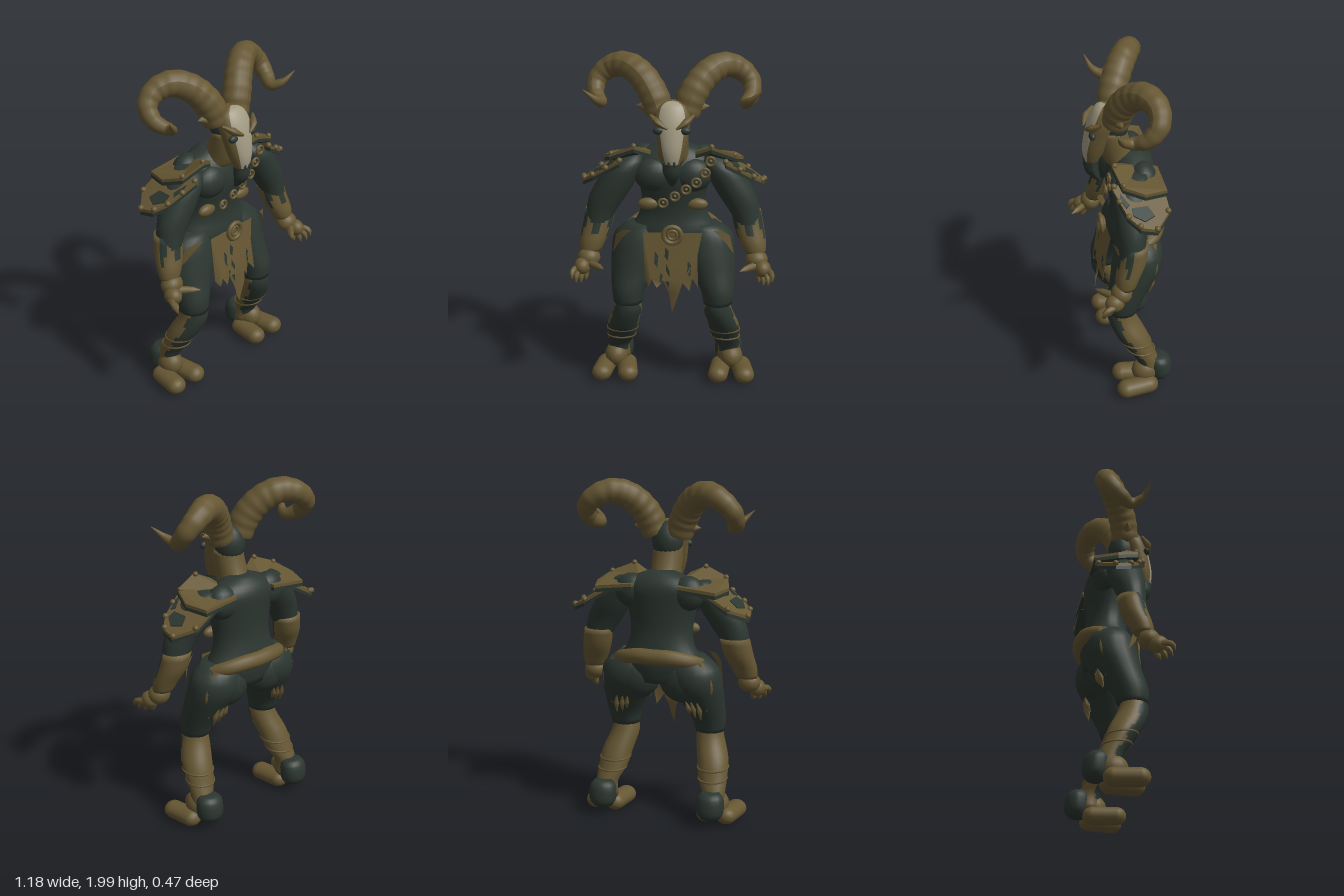
import * as THREE from 'three';

const paint = (name, color) => Object.assign(new THREE.MeshStandardMaterial({ color }), { name });
const V = p => new THREE.Vector3(...p);

// Smooth body from rows [x, y, z, radiusX, radiusZ], listed from top to bottom.
// pick(angle, t) gives the material slot of each patch.
function loft(rows, n = 20, pick = () => 0) {
  const centre = new THREE.CatmullRomCurve3(rows.map(r => V(r.slice(0, 3))), false, 'catmullrom', 0.5);
  const size = new THREE.CatmullRomCurve3(rows.map(r => V([r[3], r[4], 0])), false, 'catmullrom', 0.5);
  const m = (rows.length - 1) * 3, pos = [], lists = [[], []];
  for (let i = 0; i <= m; i++) {
    const c = centre.getPoint(i / m), s = size.getPoint(i / m);
    for (let j = 0; j < n; j++) {
      const a = j / n * Math.PI * 2;
      pos.push(c.x + s.x * Math.cos(a), c.y, c.z + s.y * Math.sin(a));
    }
  }
  const top = pos.length / 3;
  pos.push(...rows[0].slice(0, 3), ...rows[rows.length - 1].slice(0, 3));
  for (let j = 0; j < n; j++) {
    const k = (j + 1) % n, e = m * n, angle = (j + 0.5) / n * Math.PI * 2;
    for (let i = 0; i < m; i++) {
      const a = i * n + j, b = i * n + k;
      lists[pick(angle, (i + 0.5) / m)].push(a, b, a + n, b, b + n, a + n);
    }
    lists[pick(angle, 0)].push(top, k, j);
    lists[pick(angle, 1)].push(top + 1, e + j, e + k);
  }
  const g = new THREE.BufferGeometry();
  g.setAttribute('position', new THREE.Float32BufferAttribute(pos, 3));
  g.setIndex(lists.flat());
  g.addGroup(0, lists[0].length, 0);
  if (lists[1].length) g.addGroup(lists[0].length, lists[1].length, 1);
  g.computeVertexNormals();
  return g;
}

// Tube along points whose radius follows a list, with optional ridges
function taper(points, radii, seg = 12, sides = 10, ridges = 0) {
  const curve = new THREE.CatmullRomCurve3(points.map(V));
  const g = new THREE.TubeGeometry(curve, seg, 1, sides), p = g.attributes.position, v = new THREE.Vector3();
  for (let i = 0; i <= seg; i++) {
    const t = i / seg, c = curve.getPointAt(t), f = t * (radii.length - 1);
    const k = Math.min(Math.floor(f), radii.length - 2);
    const r = THREE.MathUtils.lerp(radii[k], radii[k + 1], f - k) * (1 + (ridges ? 0.022 * Math.sin(t * ridges * Math.PI * 2) : 0));
    for (let j = 0; j <= sides; j++) {
      const q = i * (sides + 1) + j;
      v.fromBufferAttribute(p, q).sub(c).multiplyScalar(r).add(c);
      p.setXYZ(q, v.x, v.y, v.z);
    }
  }
  g.computeVertexNormals();
  return g;
}

const blob = (x, y, z, rx, ry, rz) => new THREE.SphereGeometry(1, 18, 12).scale(rx, ry, rz).translate(x, y, z);
const ring = (x, y, z, r, t) => new THREE.TorusGeometry(r, t, 8, 20).translate(x, y, z);
const outlineShape = points => new THREE.Shape(points.map(p => new THREE.Vector2(...p)));

// Armour plate outlined in x and z, folded by a height rule
function plate(outline, depth, height) {
  const g = new THREE.ExtrudeGeometry(outlineShape(outline), { depth, bevelEnabled: false });
  g.rotateX(Math.PI / 2);
  const p = g.attributes.position;
  for (let i = 0; i < p.count; i++) p.setY(i, p.getY(i) + height(p.getX(i), p.getZ(i)));
  g.computeVertexNormals();
  return g;
}

// Flat cloth cut from an x, y outline, with its depth set by a rule
function cloth(outline, depthAt) {
  const g = new THREE.ShapeGeometry(outlineShape(outline)), p = g.attributes.position;
  for (let i = 0; i < p.count; i++) p.setZ(i, depthAt(p.getX(i), p.getY(i)));
  g.computeVertexNormals();
  return g;
}

function mirrored(geo) {
  const g = geo.clone().scale(-1, 1, 1);
  const old = g.index ? Array.from(g.index.array) : Array.from({ length: g.attributes.position.count }, (_, i) => i);
  for (let i = 0; i < old.length; i += 3) [old[i], old[i + 1]] = [old[i + 1], old[i]];
  g.setIndex(old);
  return g;
}

export function createModel() {
  const model = new THREE.Group();
  model.name = 'hornedWarrior';
  const brown = paint('leatherBrown', 0x665733), dark = paint('darkGreen', 0x2c3630), bone = paint('bone', 0xa19a82);
  brown.side = dark.side = THREE.DoubleSide; // both also make thin cloth
  const add = (name, mat, geo) => {
    const mesh = new THREE.Mesh(geo, mat);
    mesh.name = name;
    model.add(mesh);
  };
  const pair = (name, mat, geo) => { add(name + 'Left', mat, geo); add(name + 'Right', mat, mirrored(geo)); };

  // Torso
  add('torso', dark, loft([[0, 1.48, -0.05, 0.07, 0.06], [0, 1.44, -0.055, 0.17, 0.1], [0, 1.38, -0.05, 0.23, 0.13],
    [0, 1.28, -0.04, 0.21, 0.135], [0, 1.15, -0.05, 0.185, 0.12], [0, 1.05, -0.06, 0.2, 0.125],
    [0, 0.95, -0.06, 0.25, 0.14], [0, 0.84, -0.06, 0.17, 0.12]], 28));
  pair('chest', dark, blob(0.11, 1.31, 0.03, 0.115, 0.1, 0.08));
  pair('shoulderBlade', dark, blob(0.17, 1.36, -0.085, 0.1, 0.1, 0.08));
  pair('buttock', dark, blob(0.145, 0.86, -0.085, 0.145, 0.14, 0.11));
  pair('ribPlate', brown, blob(0.14, 1.135, 0.038, 0.062, 0.036, 0.03));

  // Ring strap across the chest
  [[0.215, 1.415], [0.185, 1.345], [0.135, 1.29], [0.077, 1.245], [0.013, 1.2], [-0.055, 1.155]].forEach(([x, y], i) => {
    const z = [0.115, 0.11, 0.12, 0.11, 0.1, 0.085][i];
    add('strapRing', brown, ring(x, y, z, 0.024, 0.008));
    add('strapStud', brown, blob(x, y, z - 0.005, 0.01, 0.01, 0.01));
  });

  // Belt, buckle and torn cloths
  add('belt', brown, taper([[0.2, 0.95, 0.03], [0.26, 0.955, -0.06], [0.2, 0.98, -0.145], [0.09, 1.0, -0.19], [0, 1.0, -0.197],
    [-0.09, 1.0, -0.19], [-0.2, 0.98, -0.145], [-0.26, 0.955, -0.06], [-0.2, 0.95, 0.03]],
    [0.012, 0.028, 0.04, 0.045, 0.046, 0.045, 0.04, 0.028, 0.012], 36, 12));
  add('buckleRing', brown, ring(0, 0.975, 0.125, 0.05, 0.014));
  add('buckleInner', brown, ring(0, 0.975, 0.125, 0.027, 0.009));
  add('buckleDisc', brown, blob(0, 0.975, 0.11, 0.05, 0.05, 0.015));
  const hang = (x, y) => 0.11 + (0.98 - y) * 0.12 - x * x * 0.4 + (0.98 - y) * 0.05 * Math.sin(x * 45);
  add('frontCloth', brown, cloth([[-0.17, 0.98], [-0.16, 0.7], [-0.135, 0.66], [-0.12, 0.71], [-0.09, 0.66], [-0.05, 0.69],
    [-0.02, 0.62], [0, 0.51], [0.04, 0.63], [0.06, 0.69], [0.1, 0.63], [0.115, 0.71], [0.15, 0.66], [0.145, 0.85], [0.17, 0.98]], hang));
  [[-0.09, 0.88, 0.1], [-0.03, 0.9, 0.08], [-0.025, 0.8, 0.15], [-0.06, 0.75, 0.07], [0.1, 0.82, 0.1]].forEach(([x, y, h]) =>
    add('clothStain', dark, cloth([[x - 0.01, y], [x - 0.014, y - h * 0.7], [x + 0.004, y - h], [x + 0.01, y - h * 0.3]],
      (a, b) => hang(a, b) + 0.012)));
  pair('hipFlap', brown, cloth([[0.235, 0.995], [0.29, 0.985], [0.33, 0.95], [0.355, 0.82], [0.325, 0.88], [0.29, 0.94]],
    x => -0.04 + 0.145 * Math.sqrt(1 - ((x - 0.195) / 0.17) ** 2)));
  pair('sideStrand', brown, taper([[0.26, 0.97, -0.13], [0.32, 0.85, -0.13], [0.29, 0.68, -0.1]], [0.02, 0.018, 0.004], 12, 6));
  for (const [x, y] of [[0.18, 0.66], [0.21, 0.64], [0.245, 0.63]])
    pair('backRag', brown, taper([[x, 0.74, -0.145], [x + 0.01, 0.7, -0.13], [x + 0.015, y, -0.11]], [0.004, 0.016, 0.003], 8, 6));

  // Legs
  pair('thigh', dark, loft([[0.17, 1.0, -0.05, 0.09, 0.09], [0.19, 0.93, -0.06, 0.155, 0.13], [0.205, 0.83, -0.05, 0.16, 0.145],
    [0.235, 0.72, -0.01, 0.13, 0.125], [0.262, 0.61, 0.035, 0.1, 0.105], [0.265, 0.53, 0.05, 0.085, 0.085]], 24));
  pair('calf', [brown, dark], loft([[0.265, 0.56, 0.06, 0.07, 0.07], [0.268, 0.48, 0.05, 0.084, 0.086], [0.3, 0.37, 0.0, 0.092, 0.092],
    [0.315, 0.27, -0.05, 0.085, 0.075], [0.335, 0.19, -0.09, 0.066, 0.065], [0.335, 0.1, -0.1, 0.07, 0.07]], 28,
    (a, t) => (Math.sin(a) > 0.3 + 0.12 * Math.sin(t * 23) && t < 0.87 ? 1 : 0)));
  for (const [x, y, z, r] of [[0.307, 0.33, -0.02, 0.09], [0.315, 0.27, -0.05, 0.083]])
    pair('legStrap', brown, new THREE.TorusGeometry(r, 0.006, 6, 28).rotateX(Math.PI / 2 - 0.1).translate(x, y, z));
  pair('heel', dark, loft([[0.335, 0.215, -0.15, 0.05, 0.045], [0.335, 0.18, -0.158, 0.08, 0.068],
    [0.335, 0.1, -0.163, 0.08, 0.072], [0.335, 0.06, -0.155, 0.055, 0.055]], 18));
  pair('ankle', brown, blob(0.35, 0.125, -0.07, 0.07, 0.075, 0.08));
  for (const [x, turn] of [[0.28, -0.12], [0.42, 0.15]])
    pair('toe', brown, new THREE.CapsuleGeometry(0.056, 0.14, 6, 16).rotateX(Math.PI / 2).scale(1.08, 0.93, 1).rotateY(turn).translate(x, 0.06, -0.012));

  // Arms
  pair('upperArm', dark, loft([[0.23, 1.43, -0.03, 0.05, 0.06], [0.27, 1.37, 0, 0.1, 0.1], [0.33, 1.26, 0.01, 0.11, 0.1],
    [0.38, 1.17, 0.02, 0.105, 0.085], [0.415, 1.09, 0.025, 0.086, 0.075], [0.44, 1.0, 0.03, 0.07, 0.07]], 22));
  pair('bracer', [brown, dark], loft([[0.42, 1.1, 0.01, 0.087, 0.075], [0.44, 1.0, 0.03, 0.086, 0.077],
    [0.463, 0.92, 0.06, 0.076, 0.067], [0.478, 0.86, 0.075, 0.06, 0.055]], 24,
    (a, t) => (Math.sin(a) > 0.15 && t < 0.33 + 0.2 * Math.sin(a * 5) ? 1 : 0)));
  pair('wrist', brown, blob(0.485, 0.825, 0.1, 0.066, 0.058, 0.06));
  pair('palm', brown, blob(0.52, 0.785, 0.145, 0.048, 0.05, 0.055));
  [[0.5, 0.705, 0.16], [0.525, 0.7, 0.19], [0.55, 0.71, 0.215], [0.572, 0.735, 0.225]].forEach(([x, y, z], i) =>
    pair('finger', brown, taper([[0.505 + i * 0.012, 0.78, 0.14], [x, y + 0.035, z - 0.02], [x, y, z]], [0.02, 0.02, 0.018, 0.015, 0.003], 8, 8)));
  pair('thumb', brown, taper([[0.5, 0.8, 0.12], [0.44, 0.8, 0.175], [0.39, 0.8, 0.23]], [0.027, 0.024, 0.022, 0.018, 0.004], 8, 8));

  // Shoulder armour: two overlapping plates with a dark lining, lifted at the front
  const upper = [[0.12, -0.09], [0.14, -0.175], [0.36, -0.18], [0.4, -0.05], [0.36, 0.07], [0.22, 0.1], [0.13, 0.06]];
  const lower = [[0.27, -0.17], [0.43, -0.18], [0.53, -0.09], [0.52, 0.0], [0.46, 0.06], [0.3, 0.12], [0.28, 0]];
  const upperY = (x, z) => 1.475 - 0.36 * Math.abs(x - 0.22) + 0.2 * z;
  const lowerY = (x, z) => 1.41 - 0.58 * (x - 0.28) + 0.12 * z;
  for (const [outline, y] of [[upper, upperY], [lower, lowerY]]) {
    pair('shoulderPlate', brown, plate(outline, 0.018, y));
    pair('shoulderLining', dark, plate(outline, 0.02, (x, z) => y(x, z) - 0.018));
  }
  for (const patch of [[[0.41, -0.06], [0.46, -0.09], [0.49, -0.03], [0.46, 0.03], [0.42, 0.03]], [[0.34, 0.08], [0.4, 0.04], [0.42, 0.06], [0.37, 0.085]]])
    pair('platePatch', dark, plate(patch, 0.008, (x, z) => lowerY(x, z) + 0.006));
  for (const [x, z] of [[0.3, 0.105], [0.38, 0.09], [0.46, 0.055], [0.51, 0.0], [0.525, -0.09], [0.43, -0.17]])
    pair('plateStud', brown, blob(x, lowerY(x, z), z, 0.017, 0.017, 0.017));
  for (const [x, z] of [[0.22, 0.085], [0.35, 0.06]])
    pair('plateStud', brown, blob(x, upperY(x, z), z, 0.015, 0.015, 0.015));

  // Neck, head, skull mask and beard
  add('neck', brown, loft([[0, 1.6, 0.06, 0.085, 0.085], [0, 1.53, 0.045, 0.088, 0.09], [0, 1.45, 0.02, 0.088, 0.1], [0, 1.39, -0.02, 0.1, 0.11]]));
  add('head', dark, blob(0, 1.635, 0.045, 0.09, 0.115, 0.085));
  add('mask', [brown, bone], loft([[0, 1.755, 0.085, 0.045, 0.035], [0, 1.73, 0.09, 0.085, 0.062], [0, 1.67, 0.11, 0.102, 0.075], [0, 1.6, 0.13, 0.094, 0.076],
    [0, 1.5, 0.155, 0.075, 0.068], [0, 1.43, 0.17, 0.052, 0.047], [0, 1.39, 0.175, 0.032, 0.027]], 40,
    (a, t) => (Math.sin(a) > 0 && Math.abs(Math.cos(a)) < 0.66 && t < 0.97 ? 1 : 0)));
  pair('eye', dark, blob(0.074, 1.607, 0.178, 0.032, 0.022, 0.02));
  pair('brow', brown, taper([[0.025, 1.625, 0.21], [0.07, 1.65, 0.19], [0.12, 1.685, 0.14]], [0.006, 0.023, 0.008], 8, 8));
  pair('nostril', dark, blob(0.015, 1.425, 0.214, 0.007, 0.018, 0.008));
  add('beard', dark, taper([[0, 1.42, 0.175], [0, 1.37, 0.175], [0, 1.31, 0.15], [0, 1.265, 0.12]], [0.045, 0.042, 0.026, 0.003], 12, 10).scale(1.2, 1, 1));

  // Ridged horns that curl back, down and forward to a point
  pair('horn', brown, taper([[0.07, 1.68, 0.05], [0.115, 1.79, 0.025], [0.185, 1.88, -0.025], [0.275, 1.922, -0.08],
    [0.37, 1.895, -0.12], [0.435, 1.83, -0.11], [0.44, 1.76, -0.05], [0.405, 1.73, 0.02], [0.43, 1.755, 0.08], [0.495, 1.82, 0.12]],
    [0.08, 0.083, 0.08, 0.077, 0.07, 0.061, 0.052, 0.04, 0.022, 0.002], 90, 16, 15));
  pair('hornPad', brown, taper([[0.08, 1.7, 0.06], [0.15, 1.712, 0.045], [0.205, 1.715, 0.04]], [0.045, 0.038, 0.028, 0.002], 10, 6));

  return model;
}
